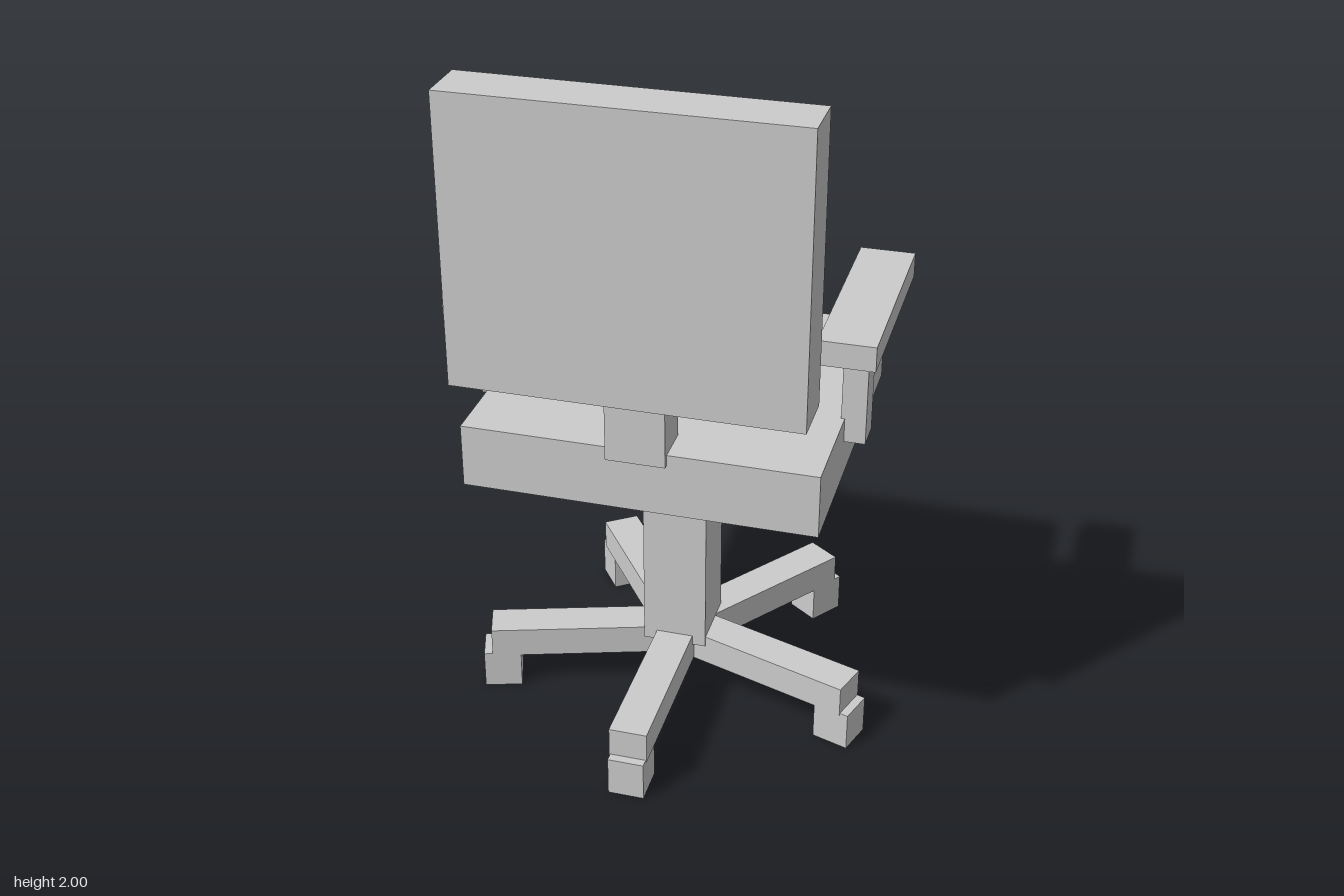
import * as THREE from 'three';

export function createModel() {
  const chair = new THREE.Group();
  chair.name = 'officeChair';
  const grey = new THREE.MeshStandardMaterial({ color: 0xcccccc });
  grey.name = 'light grey';

  // Box given by its extents along each axis
  const box = (name, [x0, x1], [y0, y1], [z0, z1], parent = chair) => {
    const mesh = new THREE.Mesh(new THREE.BoxGeometry(x1 - x0, y1 - y0, z1 - z0), grey);
    mesh.position.set((x0 + x1) / 2, (y0 + y1) / 2, (z0 + z1) / 2);
    mesh.name = name;
    parent.add(mesh);
  };

  // Seat, backrest and its support bar
  box('seat', [-0.485, 0.485], [0.85, 1.03], [-0.495, 0.415]);
  box('backrest', [-0.465, 0.465], [1.212, 2], [0.372, 0.522]);
  box('backSupport', [-0.081, 0.081], [1, 1.81], [0.305, 0.43]);

  // Armrests with posts
  for (const [side, s] of [['left', 1], ['right', -1]]) {
    const span = (a, b) => (s > 0 ? [a, b] : [-b, -a]);
    box(side + 'Armrest', span(0.431, 0.584), [1.26, 1.33], [-0.335, 0.252]);
    box(side + 'ArmPost', span(0.475, 0.543), [0.96, 1.26], [0.015, 0.105]);
  }

  // Column and five-legged base, centred slightly off the origin
  const centreZ = -0.039;
  box('column', [-0.093, 0.093], [0.17, 0.85], [centreZ - 0.092, centreZ + 0.092]);
  for (let i = 0; i < 5; i++) {
    const spoke = new THREE.Group();
    spoke.name = 'baseSpoke' + (i + 1);
    spoke.position.z = centreZ;
    spoke.rotation.y = (i * Math.PI * 2) / 5;
    box('leg', [-0.054, 0.054], [0.11, 0.2], [0, 0.569], spoke);
    box('foot', [-0.051, 0.051], [0, 0.115], [0.485, 0.594], spoke);
    chair.add(spoke);
  }
  return chair;
}
